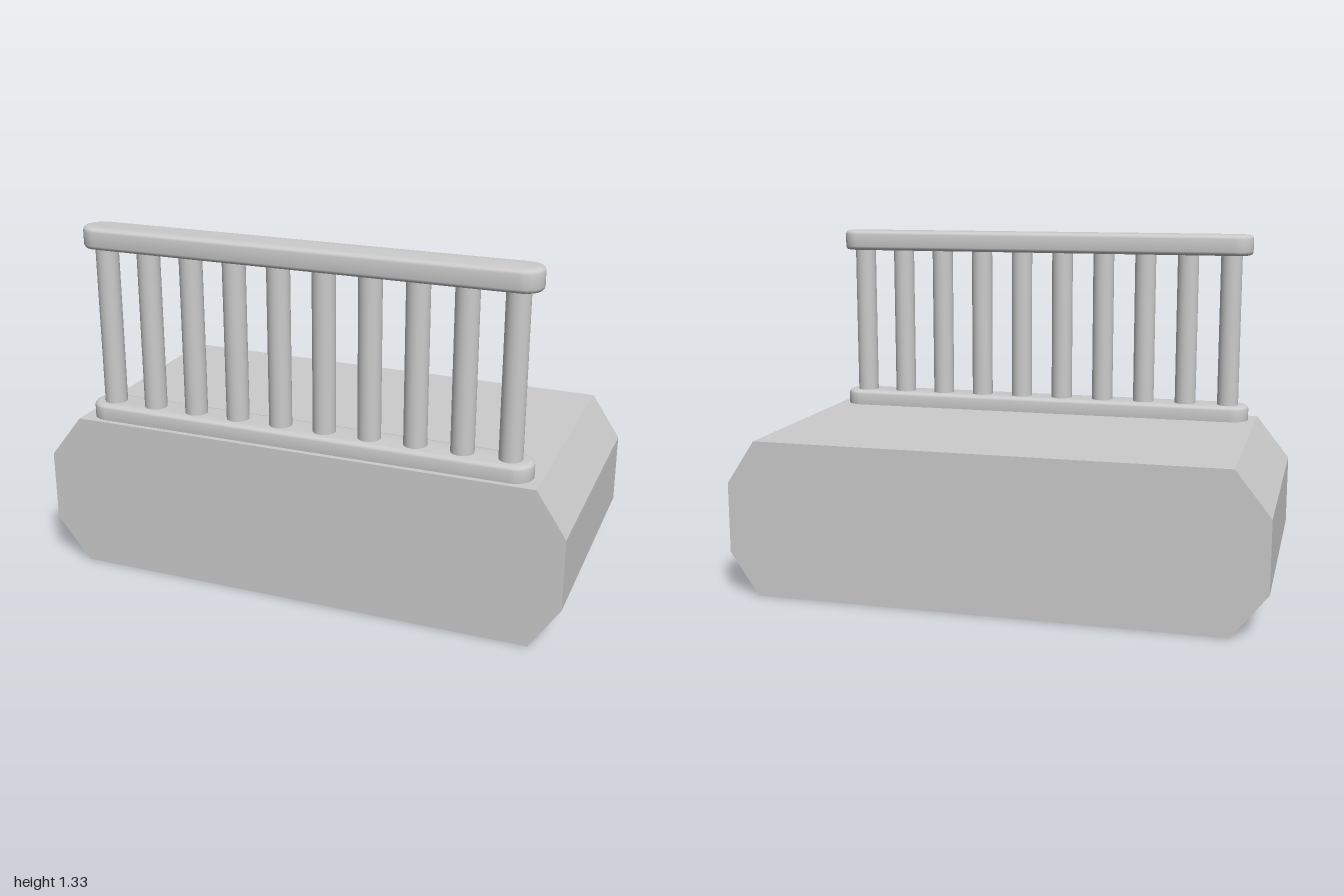
import * as THREE from 'three';
import { toCreasedNormals } from 'three/addons/utils/BufferGeometryUtils.js';

const RAIL_X = 0.01;   // middle of the railing
const RAIL_Z = 0.395;
const RAIL_R = 0.07;   // half the rail's width
const RAIL_HALF = 0.85;

export function createModel() {
  const model = new THREE.Group();
  const material = new THREE.MeshStandardMaterial({ color: 0xcccccc });

  const add = (name, geometry, x, y, z) => {
    const mesh = new THREE.Mesh(geometry, material);
    mesh.name = name;
    mesh.position.set(x, y, z);
    model.add(mesh);
    return mesh;
  };

  // Platform: a chamfered octagonal profile run front to back
  const profile = new THREE.Shape([
    [-0.87, 0], [0.89, 0], [1, 0.165], [1, 0.43],
    [0.89, 0.595], [-0.87, 0.595], [-1, 0.43], [-1, 0.165],
  ].map(([x, y]) => new THREE.Vector2(x, y)));
  add('platform', new THREE.ExtrudeGeometry(profile, { depth: 0.97, bevelEnabled: false }), 0, 0, -0.485);

  // Rails: round-ended bars with softened edges
  const bevel = 0.015;
  const height = 0.08;
  const reach = RAIL_HALF - RAIL_R;
  const outline = new THREE.Shape();
  outline.absarc(reach, 0, RAIL_R, -Math.PI / 2, Math.PI / 2, false);
  outline.absarc(-reach, 0, RAIL_R, Math.PI / 2, Math.PI * 1.5, false);
  const bar = new THREE.ExtrudeGeometry(outline, {
    depth: height - 2 * bevel, bevelThickness: bevel, bevelSize: bevel,
    bevelOffset: -bevel, bevelSegments: 3, curveSegments: 16,
  });
  bar.translate(0, 0, bevel).rotateX(-Math.PI / 2);
  const railGeometry = toCreasedNormals(bar, 0.7);
  add('bottomRail', railGeometry, RAIL_X, 0.575, RAIL_Z);
  add('topRail', railGeometry, RAIL_X, 1.25, RAIL_Z);

  // Balusters: evenly spaced round posts, ends sunk into the rails
  const count = 10;
  const post = new THREE.CylinderGeometry(0.042, 0.042, 0.62, 24);
  for (let i = 0; i < count; i++) {
    const x = THREE.MathUtils.lerp(-0.757, 0.777, i / (count - 1));
    add(`baluster${i + 1}`, post, x, 0.95, RAIL_Z);
  }

  return model;
}
